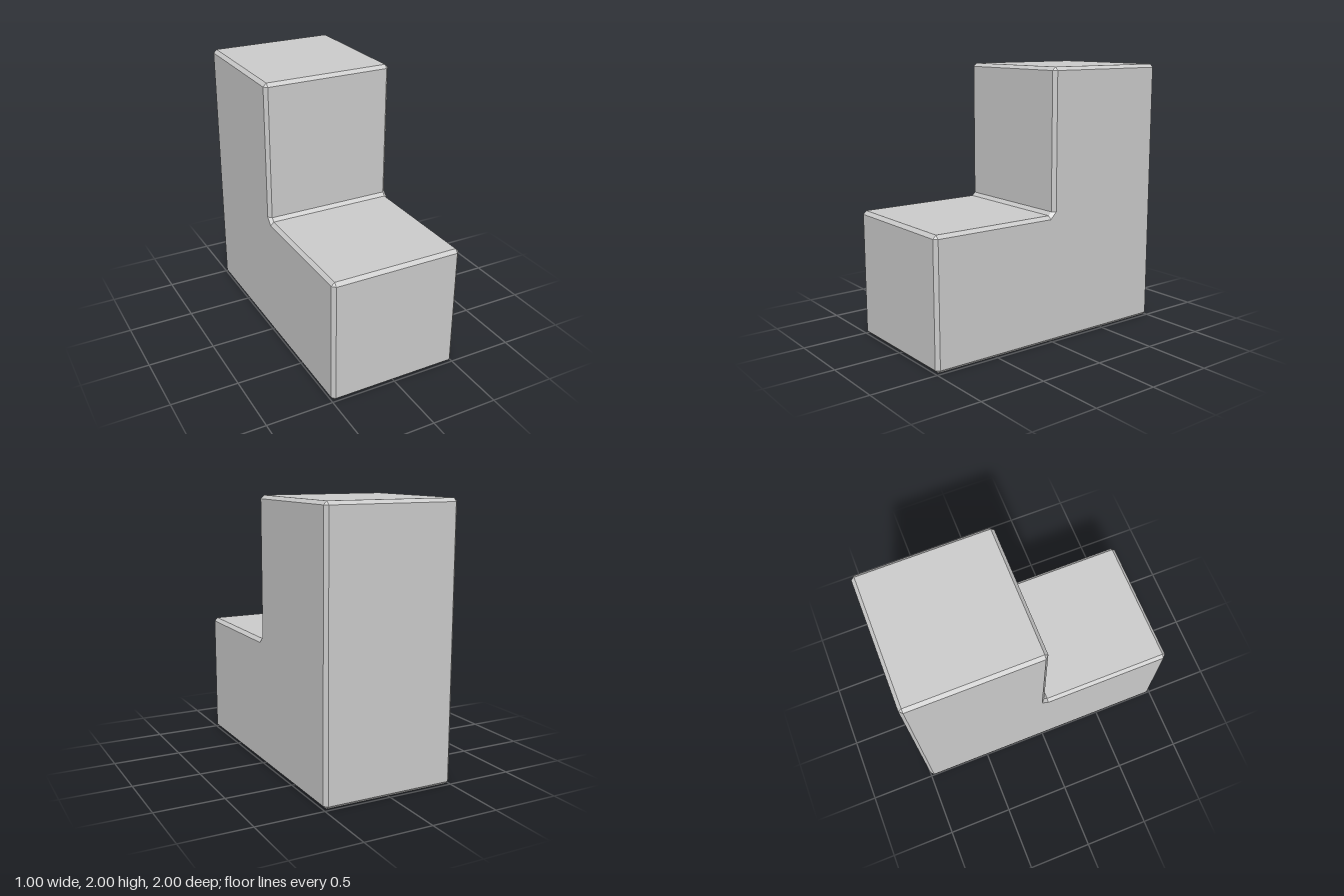
import * as THREE from 'three';

const BEVEL = 0.025;
const HALF_WIDTH = 0.5;

// L-shaped side profile as [z, y] corners, walked bottom, front, step, back
const CORNERS = [[-1, 0], [1, 0], [1, 0.95], [0, 0.95], [0, 2], [-1, 2]]
  .map(([z, y]) => new THREE.Vector2(z, y));

// Two points per corner: the chamfered outline, and the inset outline of the side face
function makeOutlines() {
  const outer = [], inset = [];
  const n = CORNERS.length;
  CORNERS.forEach((corner, i) => {
    const before = corner.clone().sub(CORNERS[(i + n - 1) % n]).normalize();
    const after = CORNERS[(i + 1) % n].clone().sub(corner).normalize();
    for (const [dir, along] of [[before, -BEVEL], [after, BEVEL]]) {
      const p = corner.clone().addScaledVector(dir, along);
      const inward = new THREE.Vector2(-dir.y, dir.x);
      outer.push(p);
      inset.push(p.clone().addScaledVector(inward, BEVEL));
    }
  });
  return { outer, inset };
}

function makeSteppedBlockGeometry() {
  const { outer, inset } = makeOutlines();
  const ring = (points, x) => points.map(p => new THREE.Vector3(x, p.y, p.x));
  const rings = [
    ring(inset, -HALF_WIDTH),
    ring(outer, -HALF_WIDTH + BEVEL),
    ring(outer, HALF_WIDTH - BEVEL),
    ring(inset, HALF_WIDTH),
  ];
  const positions = [];
  const addTriangle = (a, b, c) => {
    // leave out triangles that collapse at the corners
    if (new THREE.Triangle(a, b, c).getArea() < 1e-8) return;
    for (const v of [a, b, c]) positions.push(v.x, v.y, v.z);
  };

  // walls and bevels between neighbouring rings
  for (let r = 0; r < rings.length - 1; r++) {
    for (let k = 0; k < outer.length; k++) {
      const next = (k + 1) % outer.length;
      const a = rings[r][k], b = rings[r][next];
      const c = rings[r + 1][next], d = rings[r + 1][k];
      addTriangle(a, d, c);
      addTriangle(a, c, b);
    }
  }

  // flat side faces
  for (const [i, j, k] of THREE.ShapeUtils.triangulateShape(inset, [])) {
    addTriangle(rings[0][i], rings[0][j], rings[0][k]);
    addTriangle(rings[3][i], rings[3][k], rings[3][j]);
  }

  const geometry = new THREE.BufferGeometry();
  geometry.setAttribute('position', new THREE.Float32BufferAttribute(positions, 3));
  geometry.computeVertexNormals();
  return geometry;
}

export function createModel() {
  const model = new THREE.Group();
  model.name = 'steppedBlock';
  const material = new THREE.MeshStandardMaterial({ color: 0xcccccc, flatShading: true });
  const block = new THREE.Mesh(makeSteppedBlockGeometry(), material);
  block.name = 'bevelledStep';
  model.add(block);
  return model;
}
